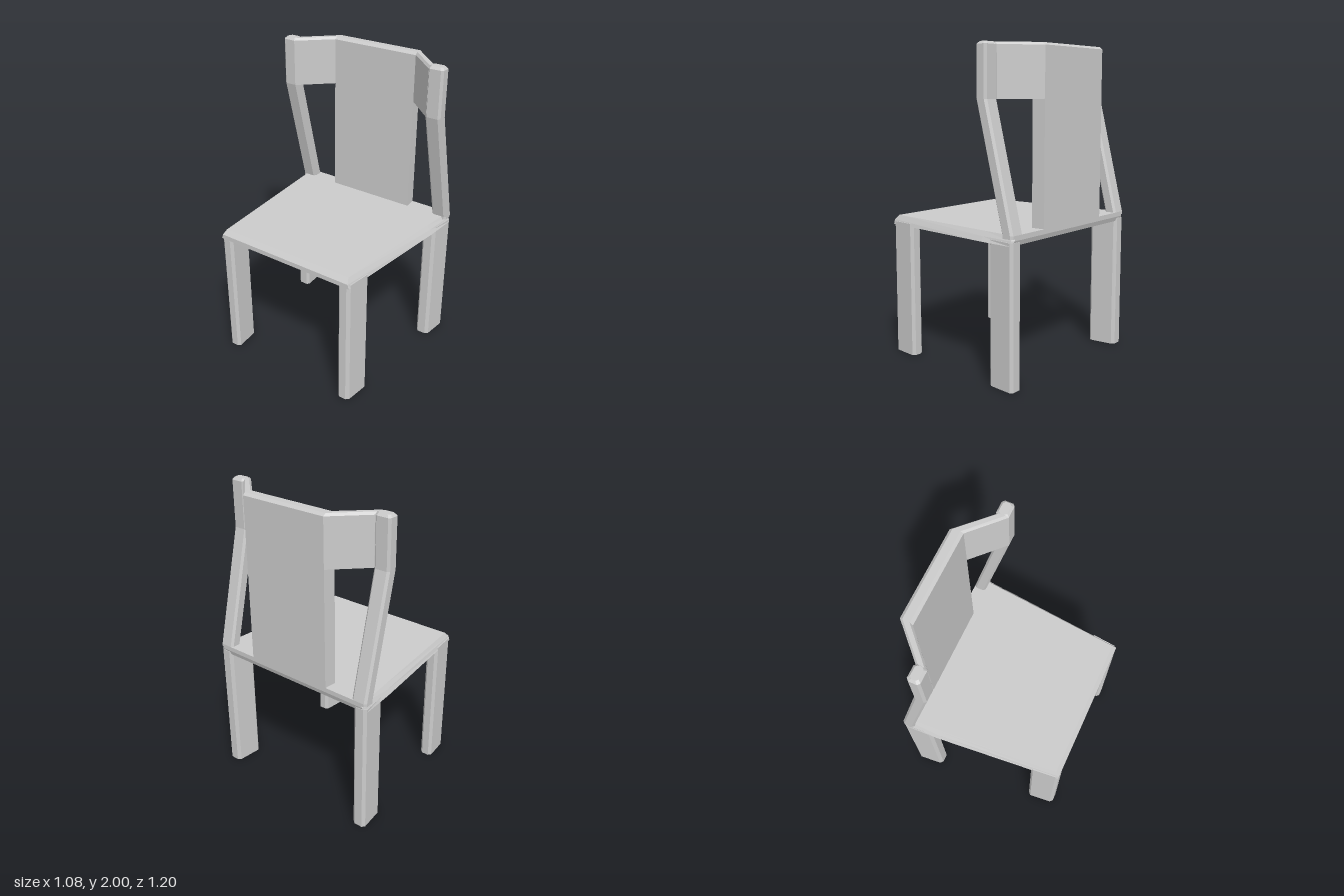
import * as THREE from 'three';

const material = new THREE.MeshStandardMaterial({ color: 0xcccccc, flatShading: true });

// Closed solid through stacked convex rings: [{ y, pts: [[x, z], ...] }], bottom to top
function loft(name, rings) {
  const n = rings[0].pts.length;
  const p0 = rings[0].pts;
  const area = p0.reduce((s, [x, z], i) => {
    const [u, v] = p0[(i + 1) % n];
    return s + x * v - u * z;
  }, 0);
  const loops = rings.map(({ y, pts }) => {
    const loop = pts.map(([x, z]) => [x, y, z]);
    return area < 0 ? loop.reverse() : loop;
  });
  const pos = [];
  const tri = (a, b, c) => pos.push(...a, ...b, ...c);
  for (let r = 0; r < loops.length - 1; r++) {
    for (let i = 0; i < n; i++) {
      const j = (i + 1) % n;
      const a = loops[r][i], b = loops[r][j], c = loops[r + 1][j], d = loops[r + 1][i];
      tri(a, d, c);
      tri(a, c, b);
    }
  }
  const top = loops[loops.length - 1];
  for (let i = 1; i < n - 1; i++) {
    tri(loops[0][0], loops[0][i], loops[0][i + 1]);
    tri(top[0], top[i + 1], top[i]);
  }
  const geometry = new THREE.BufferGeometry();
  geometry.setAttribute('position', new THREE.Float32BufferAttribute(pos, 3));
  geometry.computeVertexNormals();
  const mesh = new THREE.Mesh(geometry, material);
  mesh.name = name;
  return mesh;
}

// Rectangle with cut corners
function cutRect(x0, x1, z0, z1, c) {
  return [
    [x0 + c, z0], [x1 - c, z0], [x1, z0 + c], [x1, z1 - c],
    [x1 - c, z1], [x0 + c, z1], [x0, z1 - c], [x0, z0 + c],
  ];
}

// Seat outline, mirrored across z
const outline = (half) => [...half, ...half.map(([x, z]) => [x, -z]).reverse()];

// Backrest slab: outer and inner edge in plan, with both top edges chamfered
function slab(name, y0, outer, inner) {
  const mix = (a, b, t) => a.map((v, i) => v + (b[i] - v) * t);
  const ring = (t) => [
    mix(outer[0], inner[0], t), mix(outer[1], inner[1], t),
    mix(inner[1], outer[1], t), mix(inner[0], outer[0], t),
  ];
  return loft(name, [
    { y: y0, pts: ring(0) },
    { y: 1.985, pts: ring(0) },
    { y: 2, pts: ring(0.22) },
  ]);
}

export function createModel() {
  const chair = new THREE.Group();
  chair.name = 'chair';

  // Seat, widening to the back, with a bevelled rim
  chair.add(loft('seat', [
    { y: 0.86, pts: outline([[-0.54, 0.505], [0.3, 0.588], [0.52, 0.6], [0.53, 0.59]]) },
    { y: 0.89, pts: outline([[-0.54, 0.495], [0.3, 0.573], [0.525, 0.59], [0.54, 0.575]]) },
    { y: 0.92, pts: outline([[-0.512, 0.482], [0.3, 0.555], [0.525, 0.575], [0.54, 0.56]]) },
  ]));

  // Centre back panel
  chair.add(slab('backPanel', 0.89, [[0.54, -0.3], [0.54, 0.3]], [[0.457, -0.308], [0.457, 0.308]]));

  for (const s of [1, -1]) {
    const side = s > 0 ? 'left' : 'right';
    const flip = (pts) => pts.map(([x, z]) => [x, z * s]);

    // Legs, skewed to follow the tapering seat sides
    const leg = (name, x0, x1, zIn, zOut) => {
      const pts = cutRect(x0, x1, zIn, zOut, 0.018)
        .map(([x, z]) => [x, z + (x - x0) * 0.1]);
      chair.add(loft(name, [{ y: 0, pts: flip(pts) }, { y: 0.88, pts: flip(pts) }]));
    };
    leg(side + 'FrontLeg', -0.54, -0.35, 0.42, 0.505);
    leg(side + 'BackLeg', 0.35, 0.54, 0.49, 0.582);

    // Post: leans outward from the seat, then rises straight to a bevelled top
    const post = (x, inset = 0) =>
      flip(cutRect(x + inset, x + 0.08 - inset, 0.495 + inset / 2, 0.6 - inset, 0.014));
    chair.add(loft(side + 'Post', [
      { y: 0.9, pts: post(0.46) },
      { y: 0.92, pts: post(0.46) },
      { y: 1.68, pts: post(0.27) },
      { y: 1.985, pts: post(0.27) },
      { y: 2, pts: post(0.27, 0.014) },
    ]));

    // Angled wing joining panel and post
    chair.add(slab(side + 'Wing', 1.68,
      flip([[0.54, 0.3], [0.345, 0.497]]), flip([[0.457, 0.308], [0.27, 0.505]])));
  }
  return chair;
}
